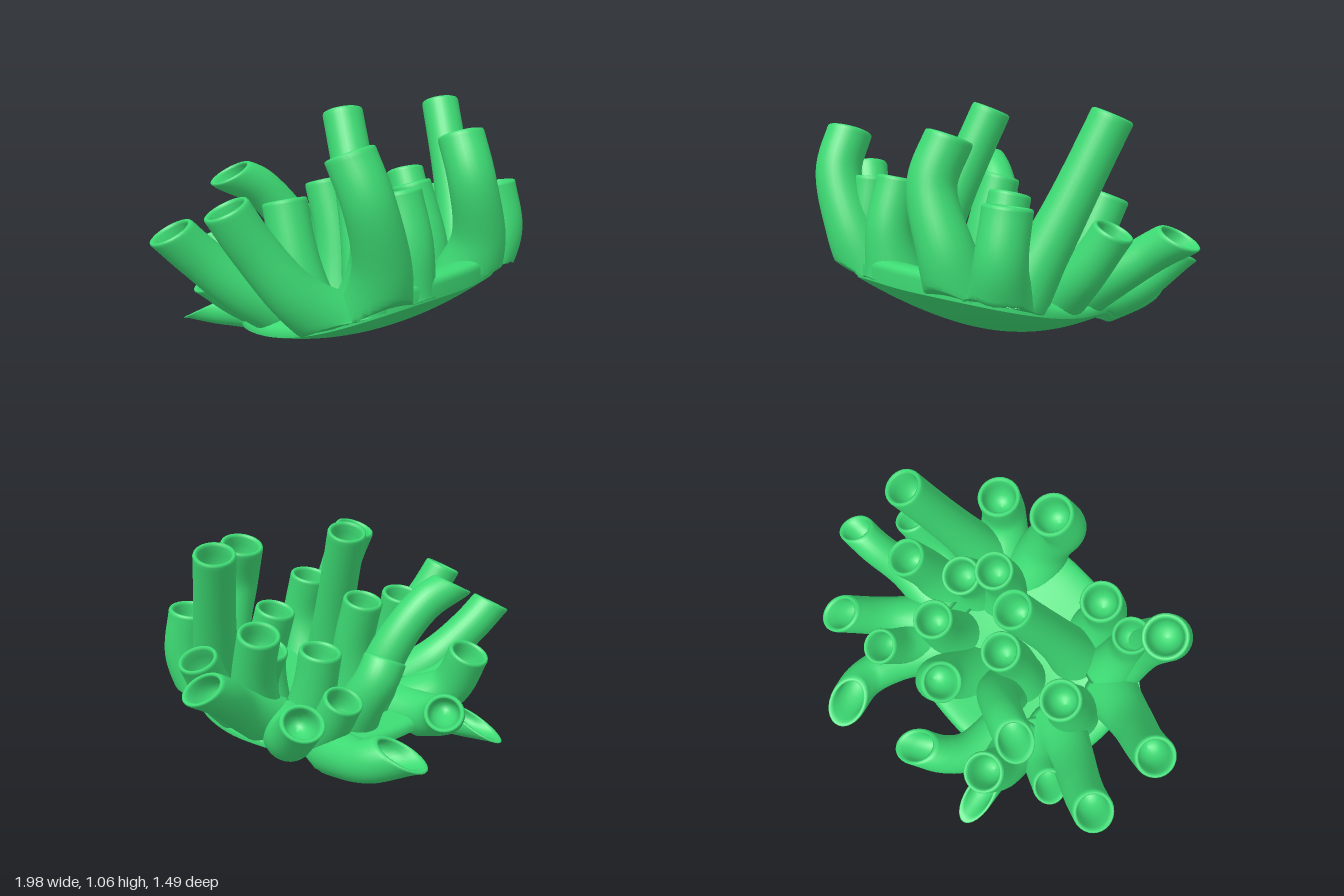
import * as THREE from 'three';

const SIDES = 28;
const { clamp, smoothstep } = THREE.MathUtils;

// Skin a list of closed rings (arrays of Vector3) into one smooth surface
function skin(rings, flip = false) {
  const pos = [], idx = [], n = rings[0].length;
  rings.forEach(r => r.forEach(p => pos.push(p.x, p.y, p.z)));
  for (let i = 0; i < rings.length - 1; i++) {
    for (let j = 0; j < n; j++) {
      const k = (j + 1) % n;
      const a = i * n + j, b = i * n + k, c = a + n, d = b + n;
      if (flip) idx.push(a, c, b, b, c, d);
      else idx.push(a, b, c, b, d, c);
    }
  }
  const g = new THREE.BufferGeometry();
  g.setAttribute('position', new THREE.Float32BufferAttribute(pos, 3));
  g.setIndex(idx);
  g.computeVertexNormals();
  return g;
}

// Height of the underside of the base: a shallow bowl raised at the front
const underside = (x, z) =>
  (z > 0 ? 0.6 : 1.2) * z * z + (x > 0 ? 0.48 : 0.3) * x * x * (1 - 0.6 * Math.max(0, z));

// Base: rounded bowl with a gently domed upper side, thicker at the front
function baseGeometry() {
  const rings = [], steps = 18, n = 72, e = 2.5;
  const ring = (s, top) => Array.from({ length: n }, (_, j) => {
    const a = j / n * Math.PI * 2, c = Math.cos(a), w = Math.sin(a);
    const k = s / Math.pow(Math.abs(c) ** e + Math.abs(w) ** e, 1 / e);
    const x = 0.61 * k * c, z = 0.2 + 0.49 * k * w;
    const lift = 0.015 + 0.17 * Math.sqrt(Math.max(0, 1 - s * s)) + 0.045 * smoothstep(z, 0.25, 0.6);
    return new THREE.Vector3(x, underside(x, z) + (top ? lift : 0), z);
  });
  for (let i = 0; i <= steps; i++) rings.push(ring(Math.sin(i / steps * Math.PI / 2), false));
  for (let i = steps; i >= 0; i--) rings.push(ring(Math.sin(i / steps * Math.PI / 2), true));
  return skin(rings, true);
}

// Hollow tube with flared foot, slanted rim and a cup-shaped opening
function tubeGeometry(r, points) {
  const curve = new THREE.CatmullRomCurve3(points.map(p => new THREE.Vector3(...p)));
  const steps = 28;
  const frames = curve.computeFrenetFrames(steps, false);
  const tip = frames.tangents[steps];
  const rimNormal = tip.clone();
  rimNormal.y += Math.max(0, 0.95 - tip.y) * 2.6;
  rimNormal.normalize();

  const ring = (i, radius, sink = 0) => {
    const t = i / steps, T = frames.tangents[i];
    const centre = curve.getPointAt(t).addScaledVector(T, -sink);
    const slant = smoothstep(t, 0.45, 1);
    const normal = T.clone().lerp(rimNormal, slant).normalize();
    return Array.from({ length: SIDES }, (_, j) => {
      const a = j / SIDES * Math.PI * 2;
      const p = new THREE.Vector3()
        .addScaledVector(frames.normals[i], Math.cos(a) * radius)
        .addScaledVector(frames.binormals[i], Math.sin(a) * radius);
      const shift = -normal.dot(p) / Math.max(0.5, normal.dot(T));
      p.addScaledVector(T, shift).add(centre);
      // the foot never sinks through the bowl; the limit fades out along the tube
      const floor = underside(clamp(p.x, -0.6, 0.6), Math.max(p.z, -0.25)) + 0.008;
      p.y = Math.max(p.y, floor - 0.6 * smoothstep(t, 0.2, 0.7));
      return p;
    });
  };

  const rings = [ring(0, 0)];
  for (let i = 0; i < steps; i++) rings.push(ring(i, r * (1 + 0.55 * (1 - i / steps) ** 3)));
  // rounded lip, then the inner wall and floor
  rings.push(ring(steps, r, 0.012), ring(steps, r * 0.97, 0.003), ring(steps, r * 0.9),
    ring(steps, r * 0.82, 0.003), ring(steps, r * 0.77, 0.015));
  for (const [f, d] of [[0.74, 0.05], [0.7, 0.09], [0.55, 0.125], [0.3, 0.145], [0, 0.15]]) {
    rings.push(ring(steps, r * f, d));
  }
  return skin(rings);
}

// Each tube: radius, then path from foot to tip
const TUBES = {
  frontTube: [
    [0.105, [-0.37, 0.24, 0.53], [-0.43, 0.46, 0.61], [-0.53, 0.74, 0.62], [-0.55, 0.93, 0.54]],
    [0.09, [-0.38, 0.25, 0.48], [-0.4, 0.5, 0.54], [-0.41, 0.72, 0.51]],
    [0.1, [-0.19, 0.24, 0.54], [-0.2, 0.5, 0.57], [-0.2, 0.73, 0.51]],
    [0.105, [0.28, 0.24, 0.53], [0.27, 0.46, 0.61], [0.19, 0.74, 0.62], [0.21, 0.94, 0.54]],
    [0.105, [0.46, 0.24, 0.48], [0.54, 0.45, 0.55], [0.54, 0.68, 0.51]],
  ],
  tallTube: [
    [0.092, [-0.22, 0.22, 0.4], [-0.15, 0.58, 0.27], [-0.06, 1.03, 0.08]],
    [0.092, [0.46, 0.22, 0.42], [0.58, 0.58, 0.27], [0.7, 1.03, 0.08]],
  ],
  middleTube: [
    [0.1, [-0.42, 0.16, 0.2], [-0.44, 0.42, 0.14], [-0.43, 0.67, 0.07]],
    [0.095, [-0.13, 0.12, 0.12], [-0.1, 0.45, 0.08], [-0.09, 0.71, 0]],
    [0.095, [0.27, 0.16, 0.33], [0.26, 0.42, 0.32], [0.25, 0.68, 0.24]],
    [0.098, [0.38, 0.15, 0.26], [0.39, 0.36, 0.22], [0.38, 0.54, 0.14]],
    [0.098, [0.28, 0.12, 0.02], [0.28, 0.35, -0.06], [0.28, 0.56, -0.11]],
    [0.095, [0.45, 0.18, 0.14], [0.53, 0.45, 0.06], [0.57, 0.68, -0.04]],
    [0.1, [0.08, 0.1, -0.06], [0.1, 0.3, -0.2], [0.07, 0.42, -0.26], [0.02, 0.5, -0.26]],
    [0.088, [-0.12, 0.15, 0.02], [-0.18, 0.46, -0.09], [-0.32, 0.67, -0.17], [-0.47, 0.765, -0.23]],
  ],
  sideTube: [
    [0.095, [-0.46, 0.18, 0.42], [-0.66, 0.34, 0.35], [-0.81, 0.56, 0.26], [-0.9, 0.72, 0.21]],
    [0.095, [-0.4, 0.16, 0.12], [-0.62, 0.29, 0.02], [-0.79, 0.46, -0.08], [-0.9, 0.58, -0.13]],
    [0.08, [-0.38, 0.14, 0], [-0.54, 0.22, -0.1], [-0.66, 0.32, -0.16]],
    [0.088, [0.46, 0.22, 0.18], [0.64, 0.37, 0.19], [0.77, 0.57, 0.14]],
    [0.085, [0.42, 0.2, 0.05], [0.64, 0.34, 0], [0.8, 0.46, -0.07], [0.915, 0.53, -0.1]],
  ],
  backTube: [
    [0.095, [0.28, 0.12, -0.05], [0.36, 0.15, -0.33], [0.37, 0.18, -0.5], [0.31, 0.235, -0.645]],
    [0.092, [-0.27, 0.12, -0.08], [-0.25, 0.17, -0.33], [-0.19, 0.22, -0.44], [-0.09, 0.28, -0.525]],
    [0.072, [-0.35, 0.12, -0.12], [-0.42, 0.1, -0.32], [-0.45, 0.1, -0.43]],
    [0.098, [-0.36, 0.14, -0.1], [-0.43, 0.27, -0.27], [-0.43, 0.46, -0.38]],
    [0.088, [0.34, 0.13, -0.06], [0.37, 0.25, -0.25], [0.38, 0.42, -0.37]],
    [0.094, [0.4, 0.18, -0.02], [0.55, 0.25, -0.22], [0.65, 0.4, -0.415]],
  ],
};

export function createModel() {
  const green = new THREE.MeshStandardMaterial({ color: 0x3ddb74, side: THREE.DoubleSide });
  green.name = 'coral green';
  const model = new THREE.Group();
  model.name = 'tubeCoral';

  const add = (name, geometry) => {
    const mesh = new THREE.Mesh(geometry, green);
    mesh.name = name;
    model.add(mesh);
  };

  add('base', baseGeometry());
  for (const [name, list] of Object.entries(TUBES)) {
    list.forEach(([r, ...path], i) => add(name + (i + 1), tubeGeometry(r, path)));
  }
  return model;
}
